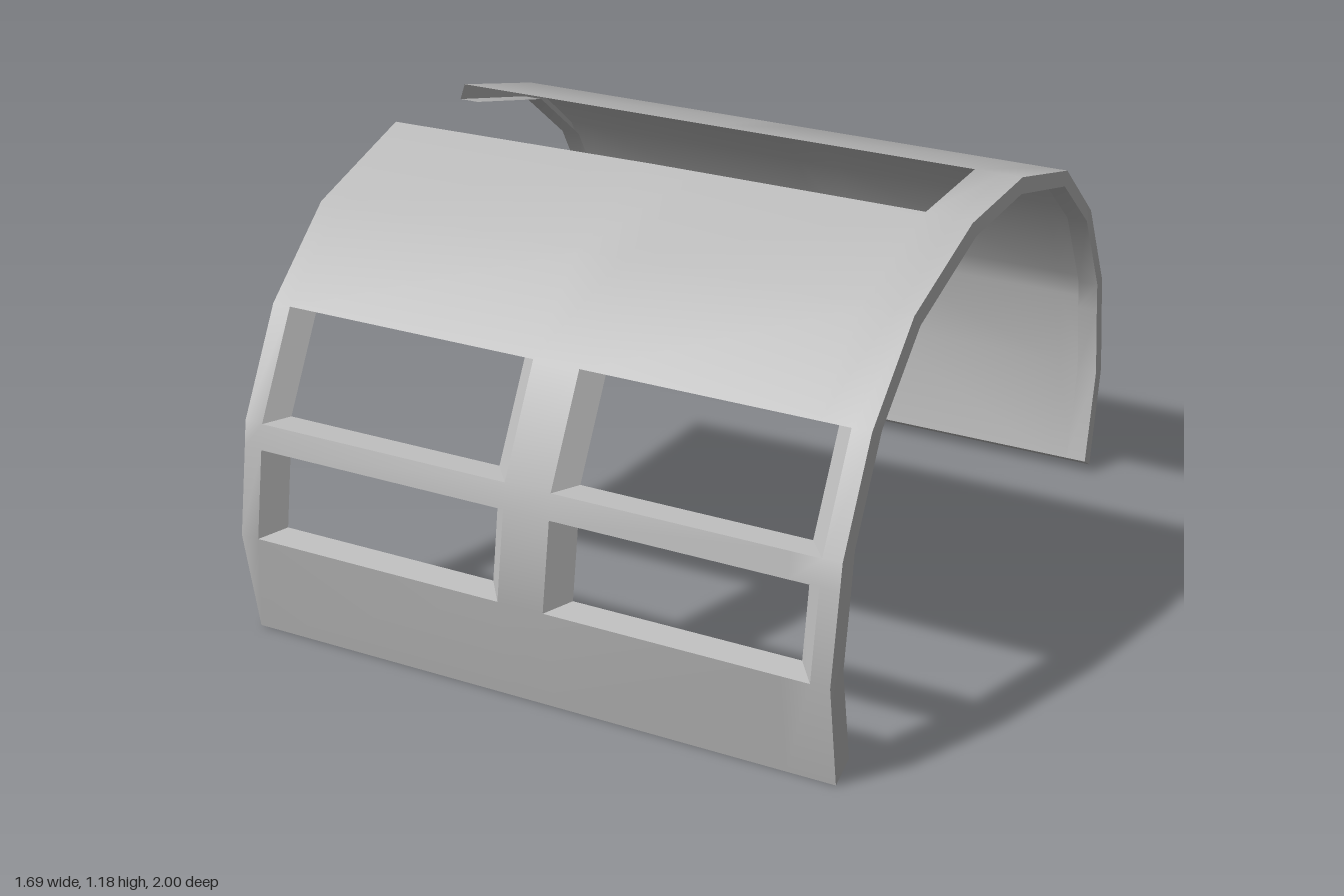
import * as THREE from 'three';

const shellGrey = new THREE.MeshStandardMaterial({ color: 0xbcbcbc, side: THREE.DoubleSide });
shellGrey.name = 'shellGrey';

// Half cross-sections as [z, y], from the foot up to the edge of the roof flat
const outerHalf = [[0.95, 0], [1, 0.3], [0.957, 0.54], [0.945, 0.61], [0.79, 0.88], [0.55, 1.08], [0.18, 1.185]];
const innerHalf = [[0.885, 0.04], [0.935, 0.315], [0.898, 0.53], [0.885, 0.617], [0.742, 0.865], [0.52, 1.045], [0.163, 1.145]];
const mirrorProfile = (half) => [...half, ...half.slice().reverse().map(([z, y]) => [-z, y])];
const outer = mirrorProfile(outerHalf);
const inner = mirrorProfile(innerHalf);
const ROOF = 6; // row index of the roof flat, which holds the slot

// Indexed sheet from rows of points; keep(row, column) leaves out open cells
function sheet(name, rows, keep = () => true) {
  const n = rows[0].length;
  const index = [];
  for (let r = 0; r < rows.length - 1; r++) {
    for (let c = 0; c < n - 1; c++) {
      if (!keep(r, c)) continue;
      const a = r * n + c;
      index.push(a, a + 1, a + n + 1, a, a + n + 1, a + n);
    }
  }
  const geometry = new THREE.BufferGeometry();
  geometry.setAttribute('position', new THREE.Float32BufferAttribute(rows.flat(2), 3));
  geometry.setIndex(index);
  geometry.computeVertexNormals();
  const mesh = new THREE.Mesh(geometry, shellGrey);
  mesh.name = name;
  return mesh;
}

export function createModel() {
  const group = new THREE.Group();
  group.name = 'archedShell';

  // Curved skin with four window openings and a roof slot open at one end
  const columns = [-0.842, -0.79, -0.065, 0.065, 0.71, 0.79, 0.842];
  const skinRows = outer.map(([z, y], r) => columns.map((x) => {
    const slotEdge = r === ROOF ? Math.max(0.16, 0.16 - 0.027 * (x + 0.1)) : z;
    return [x, y, slotEdge];
  }));
  group.add(sheet('curvedSkin', skinRows, (r, c) => {
    if (r === ROOF) return c >= 4;
    if (r === 1 || r === 3) return c === 0 || c === 2 || c === 5;
    return true;
  }));

  // End rims: a face across the thickness and a narrow return along the inside
  for (const side of [-1, 1]) {
    const keep = (r) => side > 0 || r !== ROOF;
    const label = side > 0 ? 'left' : 'right';
    const face = outer.map(([z, y], r) => [
      [side * 0.842, y, z], [side * 0.847, inner[r][1], inner[r][0]],
    ]);
    const lip = inner.map(([z, y]) => [[side * 0.847, y, z], [side * 0.79, y, z]]);
    if (side < 0) for (const row of [...face, ...lip]) row.reverse();
    group.add(sheet(label + 'EndRim', face, keep), sheet(label + 'InnerLip', lip, keep));
  }

  // Sloping ledges along both feet
  for (const side of [-1, 1]) {
    const edge = ([z, y], w) => [[-w * side, y, z * side], [w * side, y, z * side]];
    group.add(sheet(side > 0 ? 'frontFoot' : 'backFoot', [edge(inner[0], 0.847), edge(outer[0], 0.842)]));
  }

  // Window reveals, tapering inwards on all four sides
  for (const row of [1, 3]) {
    for (const [x0, x1] of [[-0.79, -0.065], [0.065, 0.79]]) {
      const corners = (profile, inset) => {
        const [[z0, y0], [z1, y1]] = [profile[row], profile[row + 1]];
        const a = x0 + inset, b = x1 - inset;
        return [[a, y0, z0], [b, y0, z0], [b, y1, z1], [a, y1, z1]];
      };
      const out = corners(outer, 0), inn = corners(inner, 0.05);
      const reveal = new THREE.Group();
      reveal.name = row === 1 ? 'lowerWindowReveal' : 'upperWindowReveal';
      for (let i = 0; i < 4; i++) {
        const j = (i + 1) % 4;
        reveal.add(sheet('revealSide', [[out[i], out[j]], [inn[i], inn[j]]]));
      }
      group.add(reveal);
    }
  }
  return group;
}
